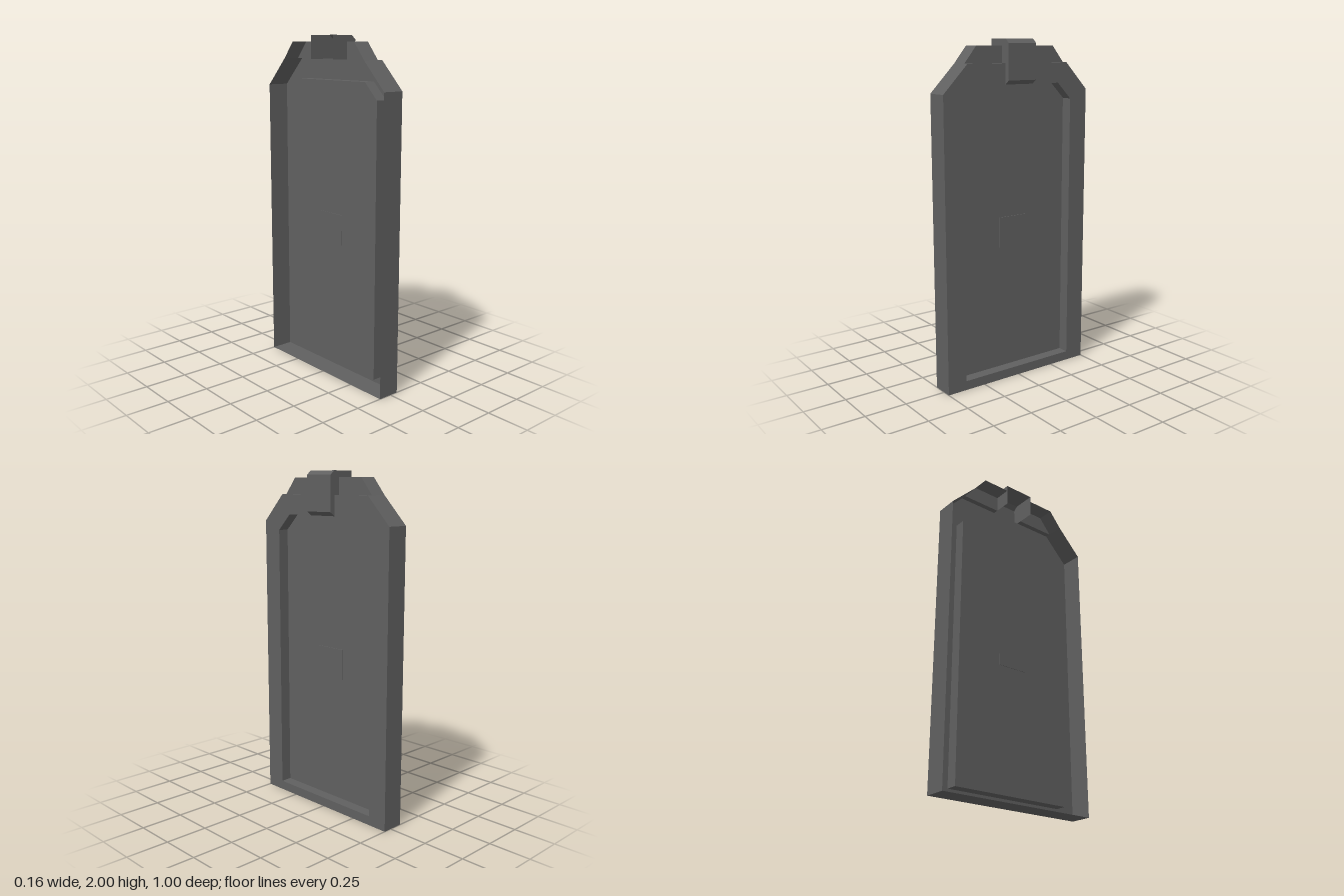
import * as THREE from 'three';

const material = new THREE.MeshStandardMaterial({ color: 0x606060, flatShading: true, side: THREE.DoubleSide });

// Depth levels along x
const BACK = -0.082, FRONT = 0.051, STEP = 0.019, PANEL = -0.016;
// Heights of the ledge and the rim
const LEDGE = 1.867, RIM = 1.963;
const CLIP = 0.095; // half width of the clip

function addMesh(parent, name, geometry) {
  const mesh = new THREE.Mesh(geometry, material);
  mesh.name = name;
  parent.add(mesh);
  return mesh;
}

// Faceted strip of quads between two matching rows of 3D points
function ribbon(rowA, rowB) {
  const pos = [];
  for (let i = 0; i < rowA.length - 1; i++) {
    const [a, b, c, d] = [rowA[i], rowB[i], rowB[i + 1], rowA[i + 1]];
    pos.push(...a, ...b, ...c, ...a, ...c, ...d);
  }
  const geometry = new THREE.BufferGeometry();
  geometry.setAttribute('position', new THREE.Float32BufferAttribute(pos, 3));
  geometry.computeVertexNormals();
  return geometry;
}

// Wall following a [z, y] path, spanning x0 to x1
const wall = (path, x0, x1) => ribbon(path.map(([z, y]) => [x0, y, z]), path.map(([z, y]) => [x1, y, z]));

const shapeOf = (points) => new THREE.Shape(points.map(([u, v]) => new THREE.Vector2(u, v)));

// Flat plate from [z, y] points, facing +x at the given depth
function plate(points, x, hole) {
  const flip = ([z, y]) => [-z, y];
  const shape = shapeOf(points.map(flip));
  if (hole) shape.holes.push(shapeOf(hole.map(flip)));
  return new THREE.ShapeGeometry(shape).rotateY(Math.PI / 2).translate(x, 0, 0);
}

const mirrored = (points) => points.map(([z, y]) => [-z, y]).reverse();

export function createModel() {
  const model = new THREE.Group();
  model.name = 'panelCover';

  // Frame: open-backed shell with chamfered shoulders
  const frame = new THREE.Group();
  frame.name = 'frame';
  model.add(frame);
  const halfOutline = [[0.5, 0], [0.5, 1.708], [0.345, LEDGE]];
  const outline = [...mirrored(halfOutline), ...halfOutline];
  const halfRecess = [[0.378, 0.055], [0.378, 1.655], [0.283, 1.75]];
  const recess = [...mirrored(halfRecess), ...halfRecess];
  addMesh(frame, 'frameFace', plate(outline, FRONT, recess));
  addMesh(frame, 'outerWall', wall(outline, BACK, FRONT));

  // Recessed panel with a thin square plate at its centre
  addMesh(model, 'recessWall', wall([...recess, recess[0]].reverse(), PANEL, FRONT));
  addMesh(model, 'panel', plate(recess, PANEL));
  addMesh(model, 'centreSquare', new THREE.BoxGeometry(0.008, 0.18, 0.19).translate(PANEL + 0.001, 0.89, 0));

  // Set-back top rim on both sides of the clip
  const rim = [[0.345, LEDGE], [0.266, RIM], [CLIP, RIM]];
  const ledge = [[0.345, LEDGE], [CLIP, LEDGE]];
  for (const [side, place] of [['left', (p) => p], ['right', mirrored]]) {
    addMesh(frame, side + 'RimFace', plate(place([...rim, [CLIP, LEDGE]]), STEP));
    addMesh(frame, side + 'RimTop', wall(place(rim), BACK, STEP));
    addMesh(frame, side + 'Ledge', wall(place(ledge), STEP, FRONT));
  }

  // Clip hooked over the top edge, open at the back
  const clip = new THREE.Group();
  clip.name = 'clip';
  model.add(clip);
  const hook = [[BACK, 2], [0.055, 2], [0.082, 1.977], [0.082, 1.773], [FRONT, 1.75]];
  addMesh(clip, 'clipCover', ribbon(hook.map(([x, y]) => [x, y, -CLIP]), hook.map(([x, y]) => [x, y, CLIP])));
  const cheek = shapeOf([...hook, [FRONT, LEDGE], [BACK, LEDGE]]);
  addMesh(clip, 'clipFrontSide', new THREE.ShapeGeometry(cheek).translate(0, 0, CLIP));
  const rear = addMesh(clip, 'clipRearSide', new THREE.ShapeGeometry(cheek).translate(0, 0, CLIP));
  rear.scale.z = -1;

  return model;
}
